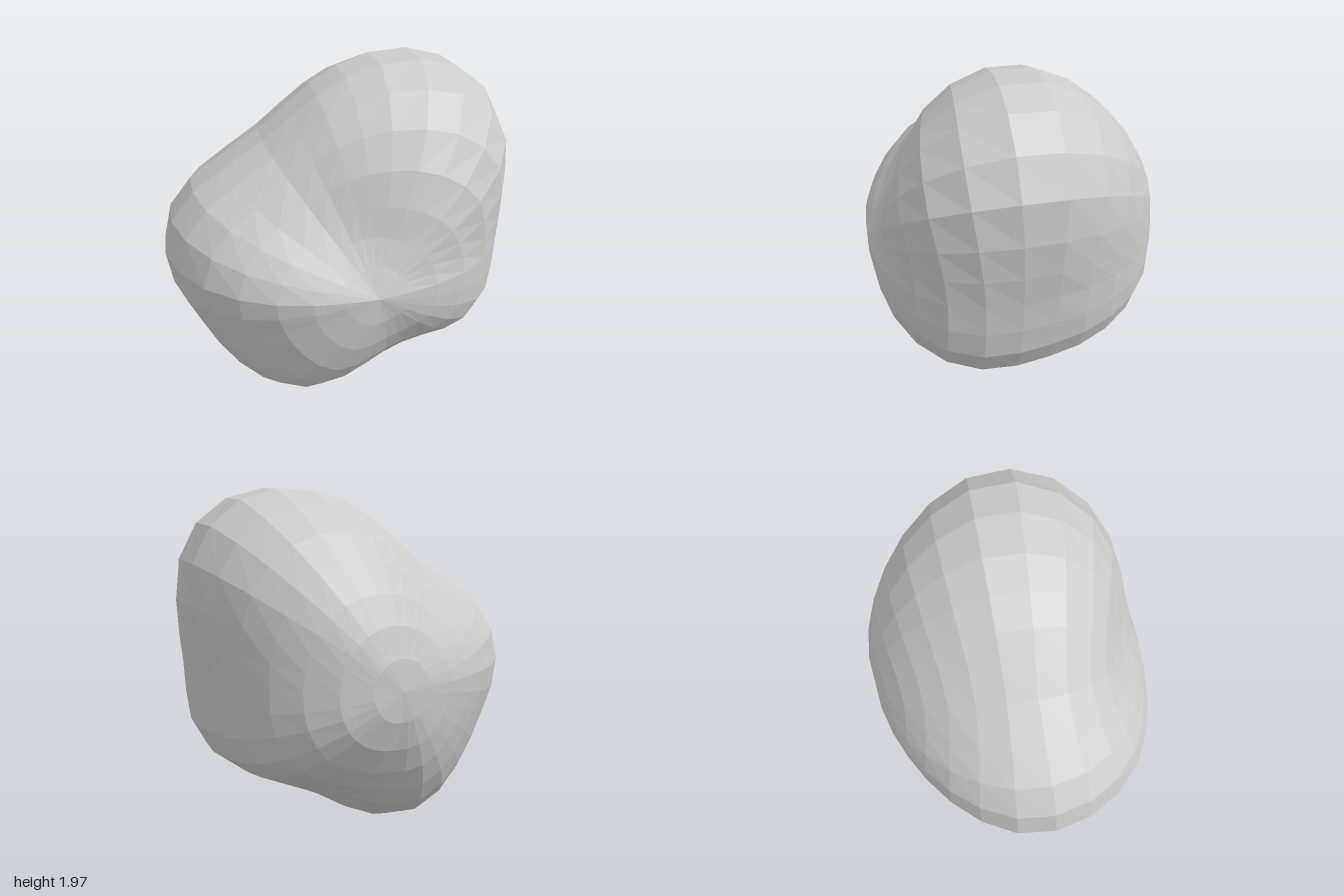
import * as THREE from 'three';

// Widest outline of the boulder, clockwise seen from the front (x, y)
const OUTLINE = [
  [0.06, 1.93], [0.25, 1.99], [0.48, 2.0], [0.69, 1.94], [0.86, 1.8], [0.96, 1.6], [0.97, 1.37],
  [0.945, 1.17], [0.915, 1.0], [0.895, 0.82], [0.87, 0.66], [0.79, 0.5], [0.66, 0.4], [0.5, 0.34],
  [0.36, 0.28], [0.22, 0.2], [0.06, 0.1], [-0.13, 0.015], [-0.35, 0.0], [-0.54, 0.1], [-0.68, 0.26],
  [-0.79, 0.44], [-0.88, 0.63], [-0.95, 0.8], [-0.98, 0.99], [-0.93, 1.19], [-0.8, 1.35],
  [-0.63, 1.46], [-0.4, 1.6], [-0.25, 1.72], [-0.1, 1.84],
];
const CENTRE = [0.05, 0.96];
const BANDS = 15;

// Point on the surface: theta runs from the front pole to the back pole.
// The radius eases from the outline to a common radius at each pole.
function surfacePoint(theta, [ex, ey]) {
  const c = Math.cos(theta);
  const depth = Math.abs(c);
  const dx = ex - CENTRE[0], dy = ey - CENTRE[1];
  const edge = Math.hypot(dx, dy) * 1.005;
  const nx = (dx / edge) * Math.sin(theta);
  const ny = (dy / edge) * Math.sin(theta);
  const right = Math.max(nx, 0), left = Math.max(-nx, 0), up = Math.max(ny, 0);
  let r;
  if (c > 0) {
    // front: full sides, swollen +x flank, top leaning back
    r = THREE.MathUtils.lerp(edge, 0.795, depth ** (2.8 - 1.5 * ny * ny));
    r *= 1 + 0.22 * right * right * depth * (1 - ny);
    r *= 1 - 0.48 * up * depth ** 3;
  } else {
    // back: rounder, swollen low on the +x flank, slimmer on the other
    r = THREE.MathUtils.lerp(edge, 0.81, depth ** 1.3);
    r *= 1 + 0.2 * right * depth ** 2 * (1 - 1.2 * ny);
    r *= 1 - 0.06 * left * depth - 0.1 * depth ** 2 * (1 - depth ** 2);
  }
  return [CENTRE[0] + nx * r, CENTRE[1] + ny * r, c * r];
}

export function createModel() {
  const group = new THREE.Group();
  group.name = 'boulder';
  const stone = new THREE.MeshStandardMaterial({ color: 0xcccccc, flatShading: true });
  stone.name = 'grey stone';

  // Rings from front to back, closed by a single vertex at each pole
  const n = OUTLINE.length;
  const positions = [...surfacePoint(0, OUTLINE[0])];
  for (let k = 1; k < BANDS; k++) {
    for (const e of OUTLINE) positions.push(...surfacePoint((k * Math.PI) / BANDS, e));
  }
  positions.push(...surfacePoint(Math.PI, OUTLINE[0]));

  const last = 1 + (BANDS - 1) * n;
  const index = [];
  for (let i = 0; i < n; i++) {
    const j = (i + 1) % n;
    index.push(0, 1 + j, 1 + i);
    for (let k = 0; k < BANDS - 2; k++) {
      const a = 1 + k * n, b = a + n;
      index.push(a + i, a + j, b + j, a + i, b + j, b + i);
    }
    index.push(last, last - n + i, last - n + j);
  }
  const geometry = new THREE.BufferGeometry();
  geometry.setAttribute('position', new THREE.Float32BufferAttribute(positions, 3));
  geometry.setIndex(index);
  geometry.computeVertexNormals();

  const rock = new THREE.Mesh(geometry, stone);
  rock.name = 'rock';
  group.add(rock);
  return group;
}
